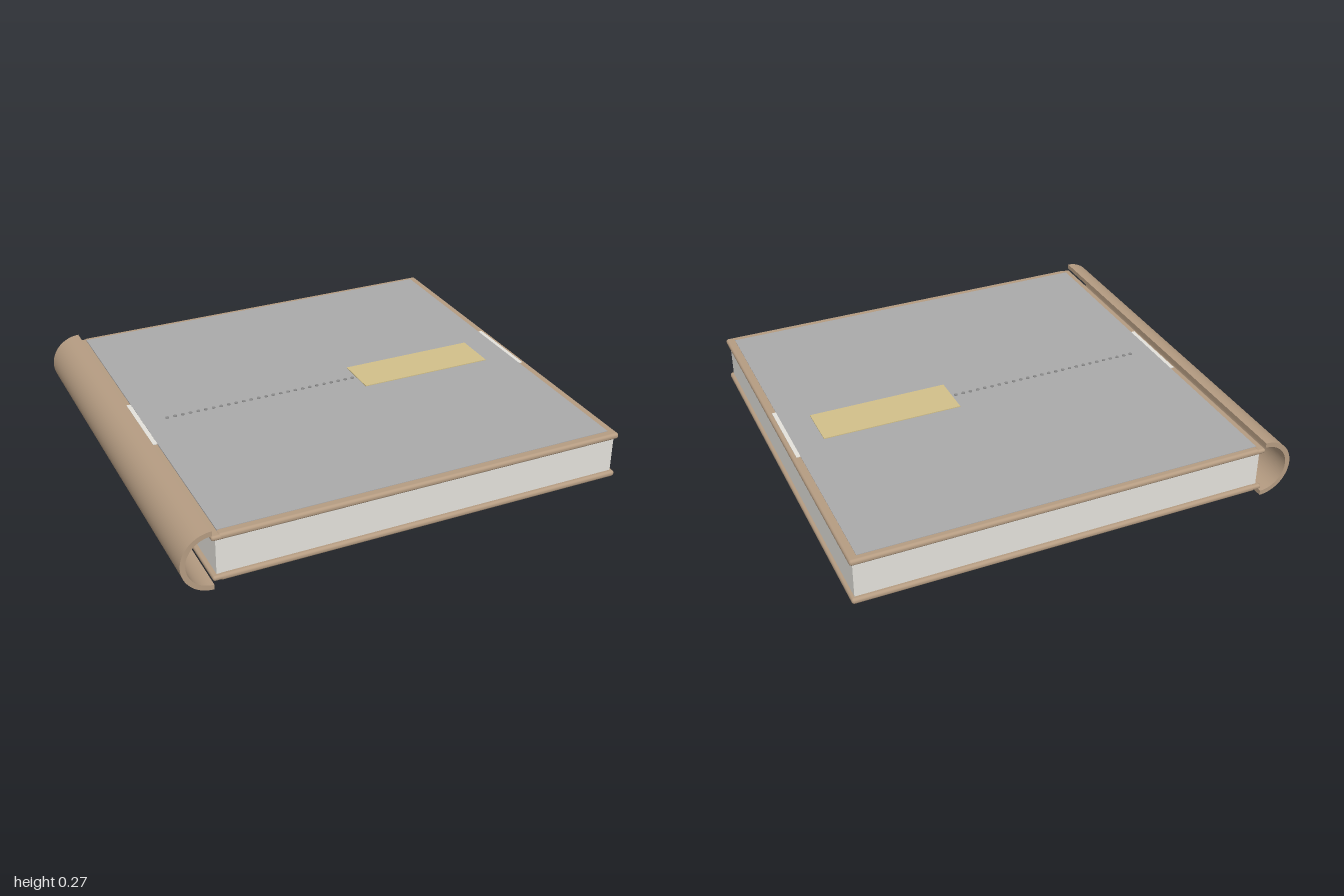
import * as THREE from 'three';
import { RoundedBoxGeometry } from 'three/addons/geometries/RoundedBoxGeometry.js';

const material = (color) => new THREE.MeshStandardMaterial({ color });

export function createModel() {
  const book = new THREE.Group();
  book.name = 'book';
  const leather = material(0xb59c82);
  const paper = material(0xe4e2dc);
  const grey = material(0xaaaaaa);
  const gold = material(0xd2c08a);
  const dark = material(0x8a8a8a);
  const MID = 0.137; // height of the book's middle plane

  const add = (name, geometry, mat, x = 0, y = 0, z = 0) => {
    const mesh = new THREE.Mesh(geometry, mat);
    mesh.name = name;
    mesh.position.set(x, y, z);
    book.add(mesh);
    return mesh;
  };
  // Box given by its limits on each axis
  const block = (name, mat, [x0, x1], [y0, y1], [z0, z1], radius = 0) => {
    const size = [x1 - x0, y1 - y0, z1 - z0];
    const geometry = radius
      ? new RoundedBoxGeometry(...size, 4, radius)
      : new THREE.BoxGeometry(...size);
    return add(name, geometry, mat, (x0 + x1) / 2, (y0 + y1) / 2, (z0 + z1) / 2);
  };

  // Page block
  block('pages', paper, [-0.848, 0.982], [0.05, 0.224], [-0.912, 0.912]);

  // Mirrored cover boards, each with a slightly thinner hinge strip
  for (const [side, s] of [['front', 1], ['back', -1]]) {
    const span = (a, b) => (s > 0 ? [MID + a, MID + b] : [MID - b, MID - a]);
    block(side + 'Cover', leather, [-0.838, 0.997], span(0.081, 0.108), [-0.93, 0.93], 0.012);
    block(side + 'Hinge', leather, [-0.868, -0.815], span(0.082, 0.104), [-0.93, 0.93], 0.01);
  }

  // Half-round hollow spine
  const arc = new THREE.Shape();
  arc.absarc(0, 0, 0.135, Math.PI / 2, Math.PI * 1.5, false);
  arc.absarc(0, 0, 0.113, Math.PI * 1.5, Math.PI / 2, true);
  arc.closePath();
  const spine = new THREE.ExtrudeGeometry(arc, { depth: 1.86, bevelEnabled: false, curveSegments: 32 });
  add('spine', spine, leather, -0.865, 0.135, -0.93);

  // Panel inlaid in the front cover, with a pale tab at each end
  block('coverPanel', grey, [-0.834, 0.96], [0.238, 0.247], [-0.902, 0.894]);
  block('hingeTab', paper, [-0.853, -0.834], [0.232, 0.246], [-0.187, 0.187]);
  block('edgeTab', paper, [0.96, 0.978], [0.236, 0.247], [-0.187, 0.187]);

  // Gold label and the row of small studs leading to it
  block('label', gold, [0.195, 0.83], [0.244, 0.251], [-0.102, 0.098]);
  const stud = new THREE.CylinderGeometry(0.008, 0.008, 0.008, 12);
  for (let i = 0; i < 26; i++) add('stud', stud, dark, -0.725 + i * 0.036, 0.247, -0.002);

  return book;
}
